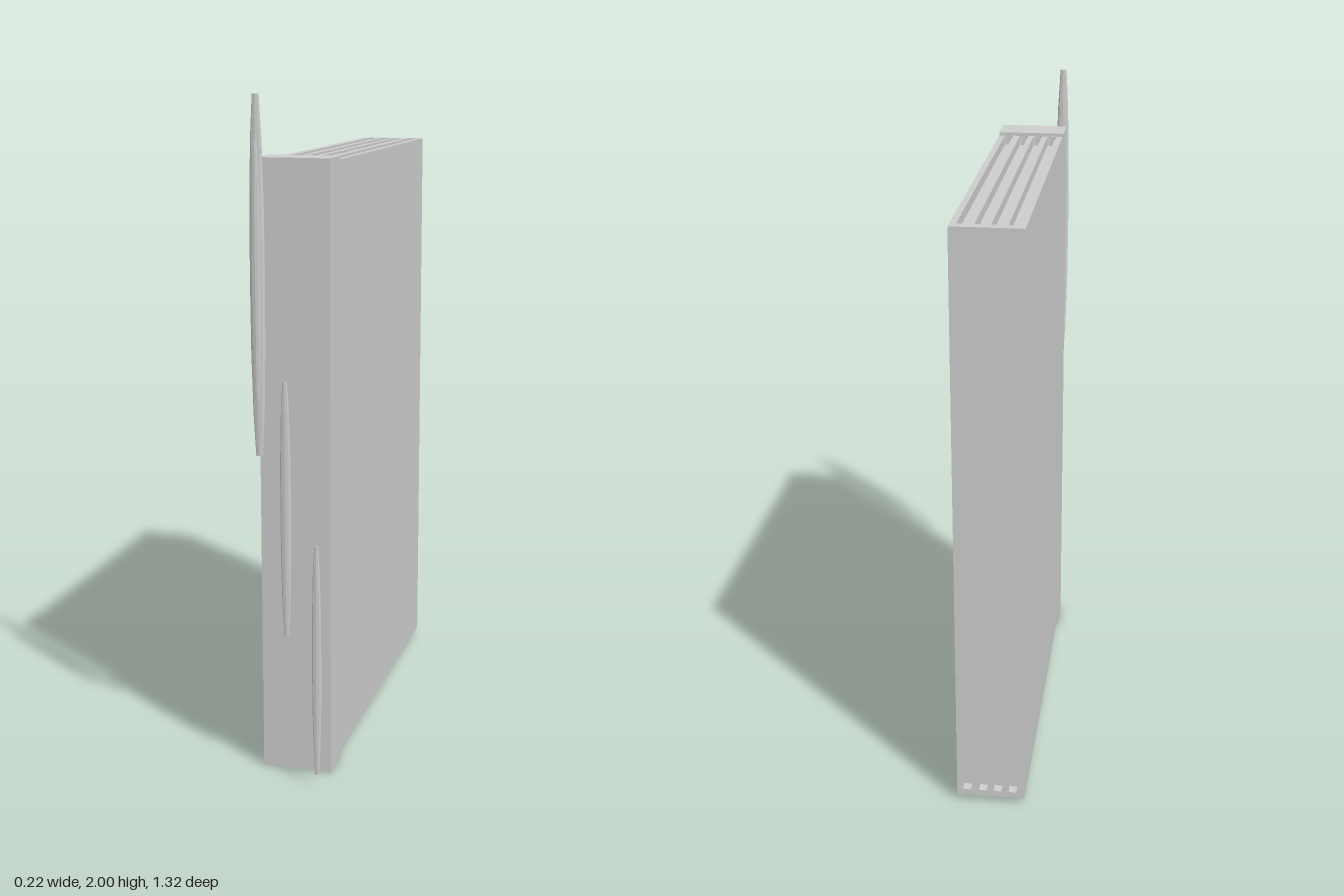
import * as THREE from 'three';

const material = new THREE.MeshStandardMaterial({ color: 0xcccccc, flatShading: true });

const X0 = -0.102, X1 = 0.105;             // slab sides
const Y0 = 0.02, Y1 = 1.815;               // slab bottom and top
const Z0 = -0.66, Z1 = 0.43;               // slab back and front
const DEPTH = 0.03;                        // groove depth
const GROOVES = [-0.067, -0.021, 0.024, 0.073];
const HALF = 0.0135;                       // half groove width

function addMesh(parent, geometry, name) {
  const mesh = new THREE.Mesh(geometry, material);
  mesh.name = name;
  parent.add(mesh);
  return mesh;
}

function addBox(parent, name, x0, x1, y0, y1, z0, z1) {
  const mesh = addMesh(parent, new THREE.BoxGeometry(x1 - x0, y1 - y0, z1 - z0), name);
  mesh.position.set((x0 + x1) / 2, (y0 + y1) / 2, (z0 + z1) / 2);
}

// Closed outline of a rectangle with chamfered-round corners
function roundedRect(path, x0, x1, y0, y1, r) {
  path.moveTo(x0 + r, y0);
  path.lineTo(x1 - r, y0);
  path.quadraticCurveTo(x1, y0, x1, y0 + r);
  path.lineTo(x1, y1 - r);
  path.quadraticCurveTo(x1, y1, x1 - r, y1);
  path.lineTo(x0 + r, y1);
  path.quadraticCurveTo(x0, y1, x0, y1 - r);
  path.lineTo(x0, y0 + r);
  path.quadraticCurveTo(x0, y0, x0 + r, y0);
  return path;
}

// Plate in the XY plane with a row of long slots cut through it
function slottedPlate(a0, a1, slot0, slot1) {
  const shape = new THREE.Shape([
    new THREE.Vector2(X0, a0), new THREE.Vector2(X1, a0),
    new THREE.Vector2(X1, a1), new THREE.Vector2(X0, a1),
  ]);
  for (const x of GROOVES) {
    shape.holes.push(roundedRect(new THREE.Path(), x - HALF, x + HALF, slot0, slot1, 0.006));
  }
  return new THREE.ExtrudeGeometry(shape, { depth: DEPTH, bevelEnabled: false, curveSegments: 3 });
}

// Long flattened spindle with blunt ends
function addShard(parent, name, x, z, rx, rz, y0, y1) {
  const profile = [[0, 0], [0.45, 0], [0.75, 0.12], [0.95, 0.3], [1, 0.5],
    [0.95, 0.7], [0.75, 0.88], [0.45, 1], [0, 1]].map(([r, t]) => new THREE.Vector2(r, t));
  const geometry = new THREE.LatheGeometry(profile, 8);
  geometry.scale(rx, y1 - y0, rz);
  addMesh(parent, geometry, name).position.set(x, y0, z);
}

export function createModel() {
  const model = new THREE.Group();

  // Slab: solid core, grooved top and grooved back
  const slab = new THREE.Group();
  slab.name = 'slab';
  addBox(slab, 'core', X0, X1, Y0, Y1 - DEPTH, Z0 + DEPTH, Z1);

  const top = slottedPlate(-Z1, -Z0, -Z1 + 0.002, -Z0 - DEPTH);
  top.rotateX(-Math.PI / 2);
  addMesh(slab, top, 'groovedTop').position.y = Y1 - DEPTH;

  const back = slottedPlate(Y0, Y1 - DEPTH, Y0 + 0.02, Y1 - DEPTH - 0.003);
  addMesh(slab, back, 'groovedBack').position.z = Z0;
  model.add(slab);

  // Front spine, slightly taller than the slab
  addBox(model, 'spine', -0.105, 0.105, 0, 1.825, Z1, 0.543);

  // Loose shards floating in front of the spine
  const shards = new THREE.Group();
  shards.name = 'shards';
  addShard(shards, 'largeShard', -0.088, 0.603, 0.022, 0.012, 0.985, 2.0);
  addShard(shards, 'upperShard', -0.077, 0.65, 0.014, 0.008, 1.16, 1.875);
  addShard(shards, 'middleShard', -0.004, 0.627, 0.016, 0.008, 0.455, 1.21);
  addShard(shards, 'lowerShard', 0.09, 0.641, 0.014, 0.007, 0.04, 0.74);
  model.add(shards);

  return model;
}
